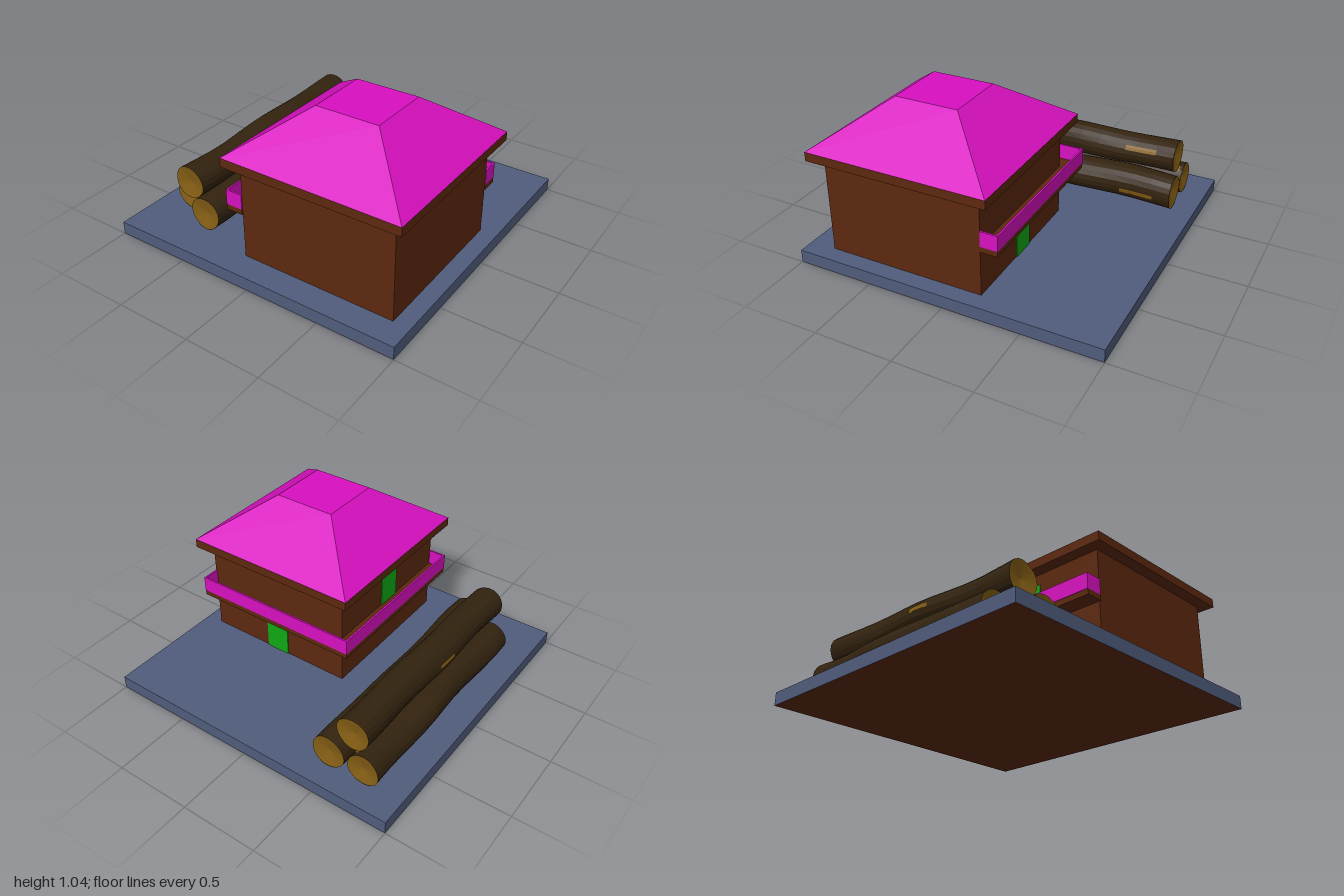
import * as THREE from 'three';

const mat = (color, extra = {}) => new THREE.MeshStandardMaterial({ color, flatShading: true, ...extra });
const BROWN = mat(0x5c280e), MAGENTA = mat(0xd810c0), BLUE = mat(0x505c7c);
const GREEN = mat(0x10a814), BARK = mat(0x33230f), WOOD = mat(0x855e14, { side: THREE.DoubleSide });

// Box given by its minimum and maximum corners
function box(name, material, [x0, y0, z0], [x1, y1, z1]) {
  const mesh = new THREE.Mesh(new THREE.BoxGeometry(x1 - x0, y1 - y0, z1 - z0), material);
  mesh.position.set((x0 + x1) / 2, (y0 + y1) / 2, (z0 + z1) / 2);
  mesh.name = name;
  return mesh;
}

// Log lying along z, tapering between two end centres with a gently uneven surface
function makeLog({ name, back, front, r, seed, patches }) {
  const log = new THREE.Group();
  log.name = name;
  const [bx, by, bz] = back, [fx, fy, fz] = front;
  const bend = (geometry) => {
    const p = geometry.attributes.position;
    for (let i = 0; i < p.count; i++) {
      const x = p.getX(i), y = p.getY(i), z = p.getZ(i);
      const t = (z - bz) / (fz - bz), a = Math.atan2(y, x);
      const k = r * (1 + 0.025 * Math.sin(3 * a + 5 * z + seed) + 0.02 * Math.sin(7 * z + 2 * seed));
      p.setXYZ(i,
        x * k + bx + (fx - bx) * t + 0.007 * Math.sin(8 * z + seed),
        y * k + by + (fy - by) * t + 0.005 * Math.sin(6 * z + 2 * seed), z);
    }
    geometry.computeVertexNormals();
    return geometry;
  };
  const add = (geometry, material, part) => {
    const mesh = new THREE.Mesh(bend(geometry), material);
    mesh.name = part;
    log.add(mesh);
  };
  // Lengthwise shell; angle 90 is the +x side, 180 the top
  const shell = (radius, z0, z1, sides, rows, start = 0, length = 360) =>
    new THREE.CylinderGeometry(radius, radius, z1 - z0, sides, rows, true,
      THREE.MathUtils.degToRad(start), THREE.MathUtils.degToRad(length))
      .rotateX(Math.PI / 2).translate(0, 0, (z0 + z1) / 2);

  add(shell(1, bz, fz, 20, 12), BARK, 'bark');
  // Slightly hollowed cut ends
  for (const [z, turn, inset] of [[fz, 0, -0.02], [bz, Math.PI, 0.02]]) {
    const cap = new THREE.CircleGeometry(1, 20).rotateY(turn).translate(0, 0, z);
    cap.attributes.position.setZ(0, z + inset);
    add(cap, WOOD, 'cutEnd');
  }
  // Strips where the bark has come off
  for (const [z0, z1, angle, width] of patches)
    add(shell(1.04, z0, z1, 2, 4, angle - width / 2, width), WOOD, 'bareStrip');
  return log;
}

export function createModel() {
  const model = new THREE.Group();

  // Ground slab with a brown underside
  model.add(box('groundSlab', BLUE, [-1, 0.001, -1], [1, 0.085, 1]));
  const underside = new THREE.Mesh(new THREE.PlaneGeometry(2, 2).rotateX(Math.PI / 2), BROWN);
  underside.name = 'groundUnderside';
  model.add(underside);

  // House walls, eaves and truncated hip roof
  const house = new THREE.Group();
  house.name = 'house';
  house.add(box('walls', BROWN, [-0.14, 0.085, -0.2], [0.89, 0.71, 0.83]));
  house.add(box('eaves', BROWN, [-0.22, 0.71, -0.28], [0.965, 0.768, 0.905]));
  const roof = new THREE.Mesh(
    new THREE.CylinderGeometry(0.2075 * Math.SQRT2, 0.5925 * Math.SQRT2, 0.277, 4).rotateY(Math.PI / 4), MAGENTA);
  roof.position.set(0.3725, 0.9065, 0.3125);
  roof.name = 'roof';
  house.add(roof);

  // Doors: ground floor at the back, upper floor on the right-hand wall
  house.add(box('groundDoor', GREEN, [0.295, 0.085, -0.206], [0.46, 0.308, -0.195]));
  house.add(box('balconyDoor', GREEN, [-0.146, 0.415, 0.23], [-0.135, 0.64, 0.395]));

  // L-shaped balcony: floor and thin parapets
  const balcony = new THREE.Group();
  balcony.name = 'balcony';
  const lo = 0.38, mid = 0.415, hi = 0.515, t = 0.012;
  balcony.add(
    box('backFloor', BROWN, [-0.25, lo, -0.31], [0.893, mid, -0.2]),
    box('sideFloor', BROWN, [-0.25, lo, -0.2], [-0.14, mid, 0.838]),
    box('backParapet', MAGENTA, [-0.25, mid, -0.312], [0.893, hi, -0.312 + t]),
    box('sideParapet', MAGENTA, [-0.253, mid, -0.312], [-0.253 + t, hi, 0.838]),
    box('backEndParapet', MAGENTA, [0.893 - t, mid, -0.3], [0.893, hi, -0.2]),
    box('sideEndParapet', MAGENTA, [-0.241, mid, 0.838 - t], [-0.14, hi, 0.838]));
  house.add(balcony);
  model.add(house);

  // Stack of three logs
  const stack = new THREE.Group();
  stack.name = 'logStack';
  stack.add(
    makeLog({ name: 'outerLog', back: [-0.75, 0.195, -0.85], front: [-0.755, 0.19, 0.63], r: 0.102, seed: 1,
      patches: [[-0.83, -0.64, 148, 20]] }),
    makeLog({ name: 'innerLog', back: [-0.52, 0.202, -0.855], front: [-0.52, 0.2, 0.76], r: 0.11, seed: 2.6,
      patches: [[-0.74, -0.51, 76, 16]] }),
    makeLog({ name: 'topLog', back: [-0.65, 0.395, -0.82], front: [-0.65, 0.36, 0.73], r: 0.106, seed: 4.3,
      patches: [[-0.7, -0.49, 115, 18], [-0.06, 0.1, 262, 16]] }));
  model.add(stack);
  return model;
}
